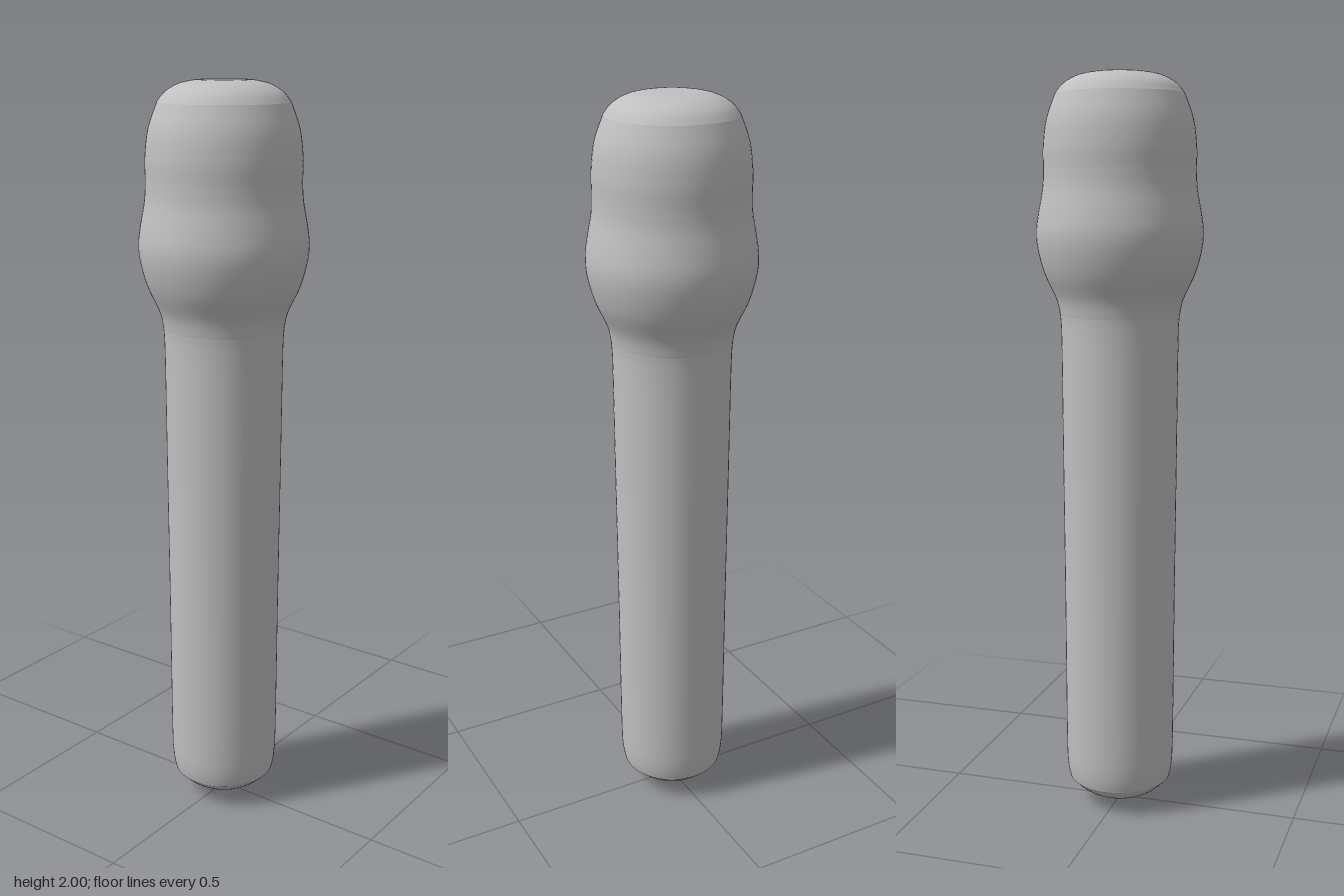
import * as THREE from 'three';

export function createModel() {
  const group = new THREE.Group();
  group.name = 'roundedPin';
  const grey = new THREE.MeshStandardMaterial({ color: 0xc0c0c0 });
  grey.name = 'plain grey';

  // Smooth turned section through [radius, height] points, bottom to top
  function turned(name, points, samples) {
    const curve = new THREE.SplineCurve(points.map(([r, y]) => new THREE.Vector2(r, y)));
    const profile = curve.getPoints(samples);
    profile.forEach((p) => { p.x = Math.max(p.x, 0); p.y = THREE.MathUtils.clamp(p.y, 0, 2); });
    const mesh = new THREE.Mesh(new THREE.LatheGeometry(profile, 64), grey);
    mesh.name = name;
    group.add(mesh);
  }

  // Blunt pointed foot, with a crease where it meets the shaft
  turned('tip', [[0, 0], [0.045, 0.013], [0.1, 0.036], [0.14, 0.07]], 12);

  // Long, slightly tapered shaft
  turned('shaft', [[0.14, 0.07], [0.147, 0.11], [0.15, 0.2], [0.152, 0.6],
    [0.155, 1], [0.157, 1.3], [0.16, 1.37]], 36);

  // Bulging head with a shallow waist
  turned('head', [[0.16, 1.37], [0.17, 1.415], [0.2, 1.48], [0.217, 1.54], [0.222, 1.59],
    [0.216, 1.64], [0.205, 1.7], [0.202, 1.75], [0.202, 1.81], [0.193, 1.88], [0.17, 1.945]], 50);

  // Rounded cap with an almost flat top
  turned('cap', [[0.17, 1.945], [0.15, 1.97], [0.115, 1.99], [0.075, 1.999], [0.035, 2], [0, 2]], 20);

  return group;
}
